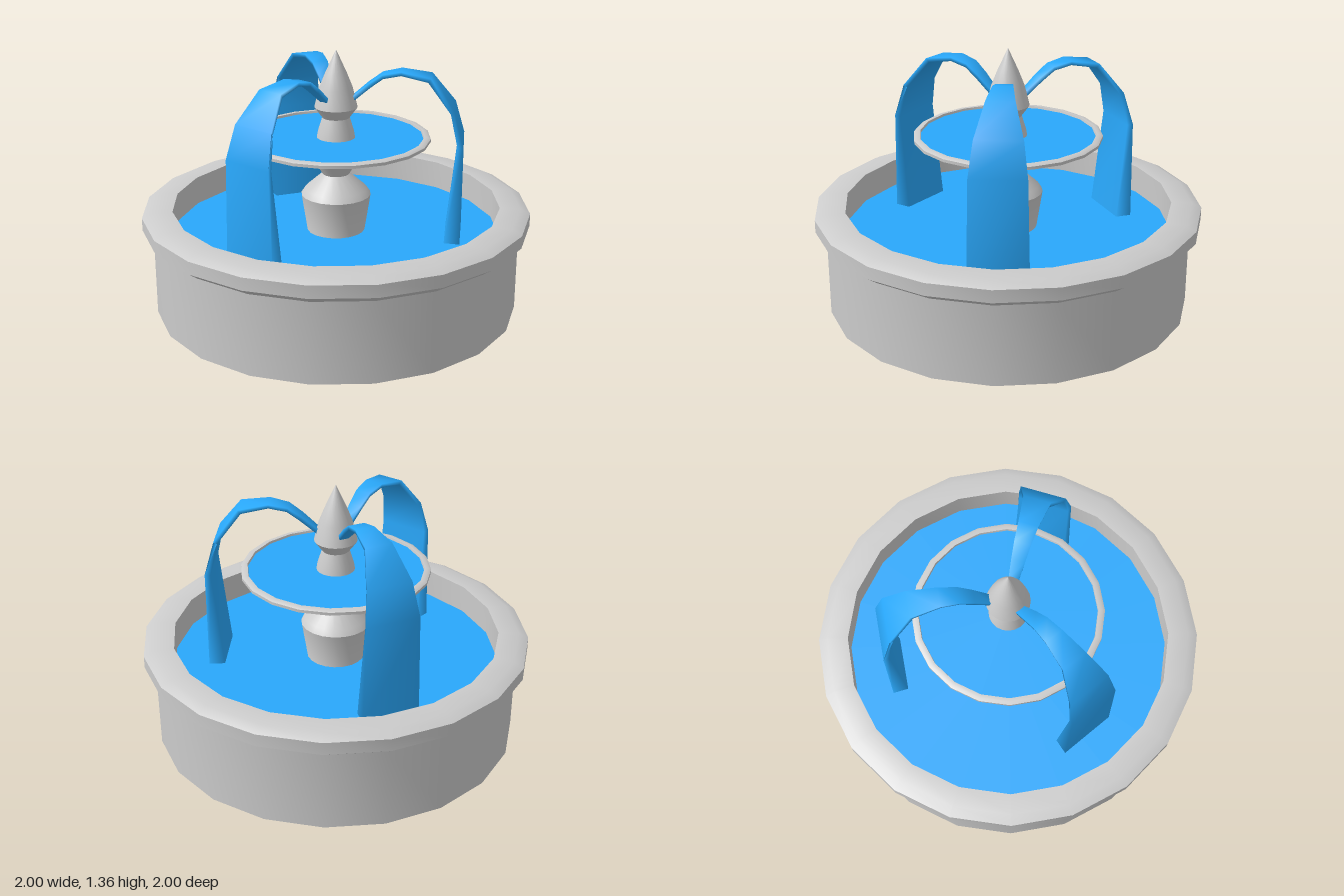
import * as THREE from 'three';
import { toCreasedNormals } from 'three/addons/utils/BufferGeometryUtils.js';

const SIDES = 20;
const stone = new THREE.MeshStandardMaterial({ color: 0xcccccc, side: THREE.DoubleSide });
const water = new THREE.MeshStandardMaterial({ color: 0x29a8fb, side: THREE.DoubleSide });

// Turned stone part from [radius, height] pairs, bottom to top
function turned(name, profile) {
  const points = profile.map(([r, y]) => new THREE.Vector2(r, y));
  const mesh = new THREE.Mesh(toCreasedNormals(new THREE.LatheGeometry(points, SIDES), 0.6), stone);
  mesh.name = name;
  return mesh;
}

// Flat water surface whose corners line up with the turned parts
function pool(name, radius, y) {
  const mesh = new THREE.Mesh(new THREE.CircleGeometry(radius, SIDES).rotateX(-Math.PI / 2), water);
  mesh.position.y = y;
  mesh.name = name;
  return mesh;
}

// Arching stream: four-cornered sections lofted along +x, softly shaded
function streamGeometry() {
  // outer x, outer y, inner x, inner y, half width
  const sections = [
    [0.085, 1.12, 0.095, 1.10, 0.025],
    [0.165, 1.19, 0.175, 1.17, 0.035],
    [0.235, 1.24, 0.24, 1.22, 0.042],
    [0.33, 1.26, 0.33, 1.24, 0.05],
    [0.48, 1.235, 0.465, 1.215, 0.07],
    [0.60, 1.08, 0.582, 1.07, 0.118],
    [0.648, 0.91, 0.62, 0.905, 0.14],
    [0.648, 0.39, 0.567, 0.39, 0.152],
  ];
  const position = [], index = [];
  sections.forEach(([xo, yo, xi, yi, w], i) => {
    position.push(xo, yo, w, xo, yo, -w, xi, yi, -w * 0.94, xi, yi, w * 0.94);
    if (i === 0) return;
    for (let k = 0; k < 4; k++) {
      const a = (i - 1) * 4 + k, b = (i - 1) * 4 + (k + 1) % 4;
      index.push(a, a + 4, b, b, a + 4, b + 4);
    }
  });
  const geometry = new THREE.BufferGeometry();
  geometry.setAttribute('position', new THREE.Float32BufferAttribute(position, 3));
  geometry.setIndex(index);
  geometry.computeVertexNormals();
  return geometry;
}

export function createModel() {
  const fountain = new THREE.Group();
  fountain.name = 'fountain';

  // Basin: open below, with a raised floor around the hollow pedestal
  fountain.add(turned('basin', [
    [0.945, 0], [0.945, 0.42], [1, 0.46], [1, 0.525], [0.95, 0.55],
    [0.845, 0.55], [0.845, 0.12], [0.22, 0.12],
  ]));
  fountain.add(pool('basinWater', 0.845, 0.4));

  // Pedestal and upper bowl
  fountain.add(turned('pedestal', [
    [0.22, 0.12], [0.15, 0.4], [0.18, 0.595], [0.16, 0.625], [0.07, 0.705], [0.135, 0.815],
  ]));
  fountain.add(turned('upperBowl', [
    [0.1, 0.8], [0.135, 0.81], [0.483, 0.89], [0.483, 0.905], [0.47, 0.912], [0.45, 0.912], [0.445, 0.89],
  ]));
  fountain.add(pool('upperBowlWater', 0.45, 0.9));

  // Finial rising from the bowl
  fountain.add(turned('finial', [
    [0.1, 0.89], [0.093, 0.93], [0.07, 1.005], [0.11, 1.06], [0.085, 1.16], [0.055, 1.235], [0, 1.355],
  ]));

  // Three streams falling into the basin, unevenly spaced by a few degrees
  const geometry = streamGeometry();
  [0, 117.8, 236.8].forEach((degrees, i) => {
    const stream = new THREE.Mesh(geometry, water);
    stream.rotation.y = THREE.MathUtils.degToRad(degrees);
    stream.name = 'waterStream' + (i + 1);
    fountain.add(stream);
  });
  return fountain;
}
